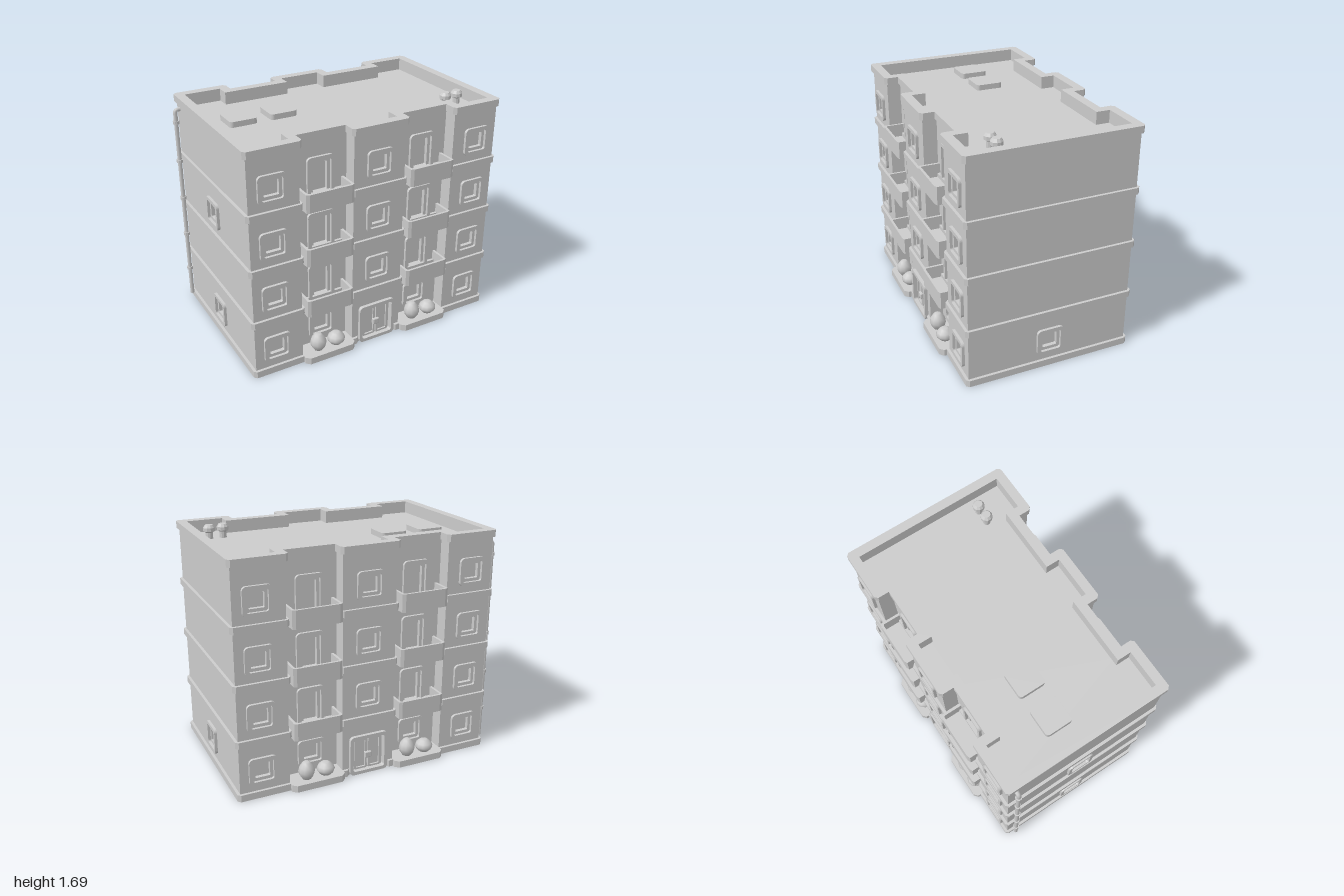
import * as THREE from 'three';
import { RoundedBoxGeometry } from 'three/addons/geometries/RoundedBoxGeometry.js';

const mat = new THREE.MeshStandardMaterial({ color: 0xcccccc, flatShading: true });
const smooth = new THREE.MeshStandardMaterial({ color: 0xcccccc });
const ROOF = 1.59, DEPTH = 0.035;

function add(parent, name, geo, x = 0, y = 0, z = 0, m = mat) {
  const mesh = new THREE.Mesh(geo, m);
  mesh.name = name;
  mesh.position.set(x, y, z);
  parent.add(mesh);
  return mesh;
}

// Cut the convex corners of a counter-clockwise outline
function chamfer(pts, c) {
  const out = [];
  pts.forEach((p, i) => {
    const a = pts[(i + pts.length - 1) % pts.length], b = pts[(i + 1) % pts.length];
    const u = p.clone().sub(a).normalize(), v = b.clone().sub(p).normalize();
    if (c > 0 && u.cross(v) > 0) {
      out.push(p.clone().addScaledVector(u, -c), p.clone().addScaledVector(v, c));
    } else out.push(p);
  });
  return out;
}

// Building footprint, with the two recessed bays on each long side
function footprint({ w = 0.96, d = 0.6, r = 0.5, grow = 0, shrinkRecess = grow, cut = 0, notch = 0 }) {
  const W = w + grow, D = d + grow, R = r + grow;
  const r1 = 0.2 + shrinkRecess, r2 = 0.6 - shrinkRecess;
  const q = [[W, D], [r2, D], [r2, R], [r1, R], [r1, D]];
  if (notch) q.push([notch, D], [notch, 0.57]);
  const flip = [...q].reverse();
  const all = [...q, ...flip.map(([x, y]) => [-x, y]), ...q.map(([x, y]) => [-x, -y]), ...flip.map(([x, y]) => [x, -y])];
  return chamfer(all.map(([x, y]) => new THREE.Vector2(x, y)), cut);
}

function slab(outline, height, hole) {
  const s = new THREE.Shape(outline);
  if (hole) s.holes.push(new THREE.Path(hole));
  return new THREE.ExtrudeGeometry(s, { depth: height, bevelEnabled: false }).rotateX(-Math.PI / 2);
}

// Rounded rectangle centred on (x, y)
function roundRect(Type, x, y, w, h, r) {
  const p = new Type(), a = w / 2 - r, b = h / 2 - r;
  p.absarc(x + a, y + b, r, 0, Math.PI / 2);
  p.absarc(x - a, y + b, r, Math.PI / 2, Math.PI);
  p.absarc(x - a, y - b, r, Math.PI, Math.PI * 1.5);
  p.absarc(x + a, y - b, r, Math.PI * 1.5, Math.PI * 2);
  p.closePath();
  return p;
}

function ring(w, h, r, t, depth) {
  const s = roundRect(THREE.Shape, 0, 0, w, h, r);
  s.holes.push(roundRect(THREE.Path, 0, 0, w - 2 * t, h - 2 * t, r * 0.5));
  return new THREE.ExtrudeGeometry(s, { depth, bevelEnabled: false, curveSegments: 3 });
}

// Wall panel whose openings are lists of [x, y, width, height]
function panel(x0, x1, openings) {
  const s = new THREE.Shape([[x0, 0], [x1, 0], [x1, ROOF], [x0, ROOF]].map(p => new THREE.Vector2(...p)));
  for (const [x, y, w, h] of openings) s.holes.push(roundRect(THREE.Path, x, y, w - 0.05, h - 0.05, 0.012));
  return new THREE.ExtrudeGeometry(s, { depth: DEPTH, bevelEnabled: false, curveSegments: 3 });
}

function windowUnit(parent, name, [x, y, w, h], z) {
  const g = new THREE.Group();
  g.name = name;
  g.position.set(x, y, z);
  add(g, 'outerFrame', ring(w, h, 0.03, 0.025, 0.02));
  add(g, 'innerFrame', ring(w - 0.05, h - 0.05, 0.012, 0.022, 0.03), 0, 0, -0.03);
  add(g, 'pane', new THREE.BoxGeometry(w - 0.09, h - 0.09, 0.006), 0, 0, -0.031);
  parent.add(g);
}

// Tray-shaped balcony with cut front corners
function balcony(parent, x, y) {
  const g = new THREE.Group();
  g.name = 'balcony';
  g.position.set(x, y, 0);
  const outer = [[-0.178, -0.645], [-0.155, -0.655], [0.155, -0.655], [0.178, -0.645], [0.178, -0.49], [-0.178, -0.49]];
  const rail = [...outer.slice(0, 5), [0.16, -0.49], [0.16, -0.632], [0.15, -0.637], [-0.15, -0.637], [-0.16, -0.632], [-0.16, -0.49], [-0.178, -0.49]];
  const v = l => l.map(p => new THREE.Vector2(...p));
  add(g, 'balconyFloor', slab(v(outer), 0.035));
  add(g, 'balconyRail', slab(v(rail), 0.13));
  parent.add(g);
}

function shrub(parent, x, r, h) {
  const profile = [[0, 0], [0.55, 0], [0.85, 0.22], [1, 0.45], [0.85, 0.7], [0.5, 0.93], [0.3, 1], [0, 1]];
  add(parent, 'shrub', new THREE.LatheGeometry(profile.map(([a, b]) => new THREE.Vector2(a * r, b * h)), 10), x, 0.05, 0.588, smooth);
}

function entrance(parent) {
  const g = new THREE.Group();
  g.name = 'entrance';
  g.position.z = 0.6;
  add(g, 'doorFrame', ring(0.295, 0.3, 0.03, 0.025, 0.025), 0, 0.15, 0);
  for (const s of [-1, 1]) {
    add(g, 'doorLeaf', new THREE.BoxGeometry(0.118, 0.25, 0.02), s * 0.061, 0.15, -0.025);
    add(g, 'doorPanel', ring(0.1, 0.235, 0.01, 0.014, 0.012), s * 0.055, 0.145, -0.015);
  }
  add(g, 'doorHandle', new RoundedBoxGeometry(0.05, 0.045, 0.03, 1, 0.006), 0, 0.135, 0);
  parent.add(g);
}

function facade() {
  const f = new THREE.Group();
  f.name = 'facade';
  const levels = [0.2, 0.6, 1.0, 1.4];
  const wins = x => levels.map(y => [x, y, 0.2, 0.2]);
  // Outer and centre bays
  for (const s of [-1, 1]) {
    const x = s * 0.795, o = wins(x);
    add(f, 'outerBayWall', panel(s * 0.78 - 0.18, s * 0.78 + 0.18, o), 0, 0, 0.6 - DEPTH);
    o.forEach(w => windowUnit(f, 'window', w, 0.6));
  }
  const centre = wins(0).slice(1);
  add(f, 'centreBayWall', panel(-0.2, 0.2, [...centre, [0, 0.15, 0.295, 0.3]]), 0, 0, 0.6 - DEPTH);
  centre.forEach(w => windowUnit(f, 'window', w, 0.6));
  entrance(f);
  // Recessed bays with balcony doors
  for (const s of [-1, 1]) {
    const x = s * 0.4;
    const o = levels.map((y, i) => i ? [x, y - 0.05, 0.2, 0.3] : [x, y, 0.2, 0.2]);
    add(f, 'recessedBayWall', panel(x - 0.2, x + 0.2, o), 0, 0, 0.5 - DEPTH);
    o.forEach((w, i) => windowUnit(f, i ? 'balconyDoor' : 'window', w, 0.5));
    for (const y of [0.385, 0.785, 1.185]) balcony(f, x, y);
    const bed = [[-0.2, -0.64], [-0.17, -0.668], [0.17, -0.668], [0.2, -0.64], [0.2, -0.45], [-0.2, -0.45]];
    add(f, 'plantingBed', slab(bed.map(p => new THREE.Vector2(...p)), 0.05), x);
    shrub(f, x - 0.07, 0.06, 0.13);
    shrub(f, x + 0.075, 0.066, 0.095);
  }
  return f;
}

// End wall facing +z before it is turned
function endWall(levels) {
  const g = new THREE.Group();
  g.name = 'endWall';
  const o = levels.map(y => [0, y, 0.2, 0.2]);
  add(g, 'endWallPanel', panel(-0.565, 0.565, o), 0, 0, 0.96 - DEPTH);
  o.forEach(w => windowUnit(g, 'sideWindow', w, 0.96));
  return g;
}

export function createModel() {
  const root = new THREE.Group();
  root.name = 'apartmentBlock';
  const b = new THREE.Group();
  b.name = 'building';
  b.position.x = 0.02;
  root.add(b);

  // Core, facades and end walls
  add(b, 'core', slab(footprint({ w: 0.925, d: 0.565, r: 0.465 }), ROOF));
  const back = facade();
  back.rotation.y = Math.PI;
  b.add(facade(), back);
  const right = endWall([0.2]), left = endWall([0.2, 1.0]);
  right.rotation.y = Math.PI / 2;
  left.rotation.y = -Math.PI / 2;
  b.add(right, left);

  // Plinth, floor bands and parapet
  add(b, 'plinth', slab(footprint({ grow: 0.02, cut: 0.02, notch: 0.148 }), 0.05));
  for (const y of [0.4, 0.8, 1.2]) add(b, 'floorBand', slab(footprint({ grow: 0.02, cut: 0.02 }), 0.047), 0, y);
  const inner = footprint({ grow: -0.047 });
  add(b, 'parapetWall', slab(footprint({}), 0.045, inner), 0, ROOF);
  add(b, 'parapetCap', slab(footprint({ grow: 0.02, cut: 0.02 }), 0.05, inner), 0, 1.63);

  // Roof hatches and vents
  for (const x of [-0.7, -0.4]) {
    const s = roundRect(THREE.Shape, 0, 0, 0.2, 0.2, 0.025);
    const g = new THREE.ExtrudeGeometry(s, { depth: 0.04, bevelEnabled: false, curveSegments: 3 });
    add(b, 'roofHatch', g.rotateX(-Math.PI / 2), x, ROOF, -0.1);
  }
  const vent = [[0.026, 0], [0.026, 0.045], [0.042, 0.055], [0.042, 0.08], [0.028, 0.1], [0, 0.1]];
  for (const x of [0.71, 0.81]) add(b, 'roofVent', new THREE.LatheGeometry(vent.map(p => new THREE.Vector2(...p)), 10), x, ROOF, 0.335);

  // Drainpipe with clamps
  const path = new THREE.CurvePath();
  const v = (x, y) => new THREE.Vector3(x, y, -0.545);
  path.add(new THREE.LineCurve3(v(-0.977, 0.05), v(-0.977, 1.56)));
  path.add(new THREE.QuadraticBezierCurve3(v(-0.977, 1.56), v(-0.977, 1.583), v(-0.955, 1.583)));
  path.add(new THREE.LineCurve3(v(-0.955, 1.583), v(-0.93, 1.583)));
  add(root, 'drainpipe', new THREE.TubeGeometry(path, 120, 0.016, 8), 0, 0, 0, smooth);
  add(root, 'pipeEnd', new THREE.CylinderGeometry(0.016, 0.016, 0.01, 8), -0.977, 0.055, -0.545);
  for (const y of [0.28, 0.585, 0.89, 1.19, 1.49]) add(root, 'pipeClamp', new THREE.CylinderGeometry(0.023, 0.023, 0.024, 10), -0.977, y, -0.545);
  return root;
}
